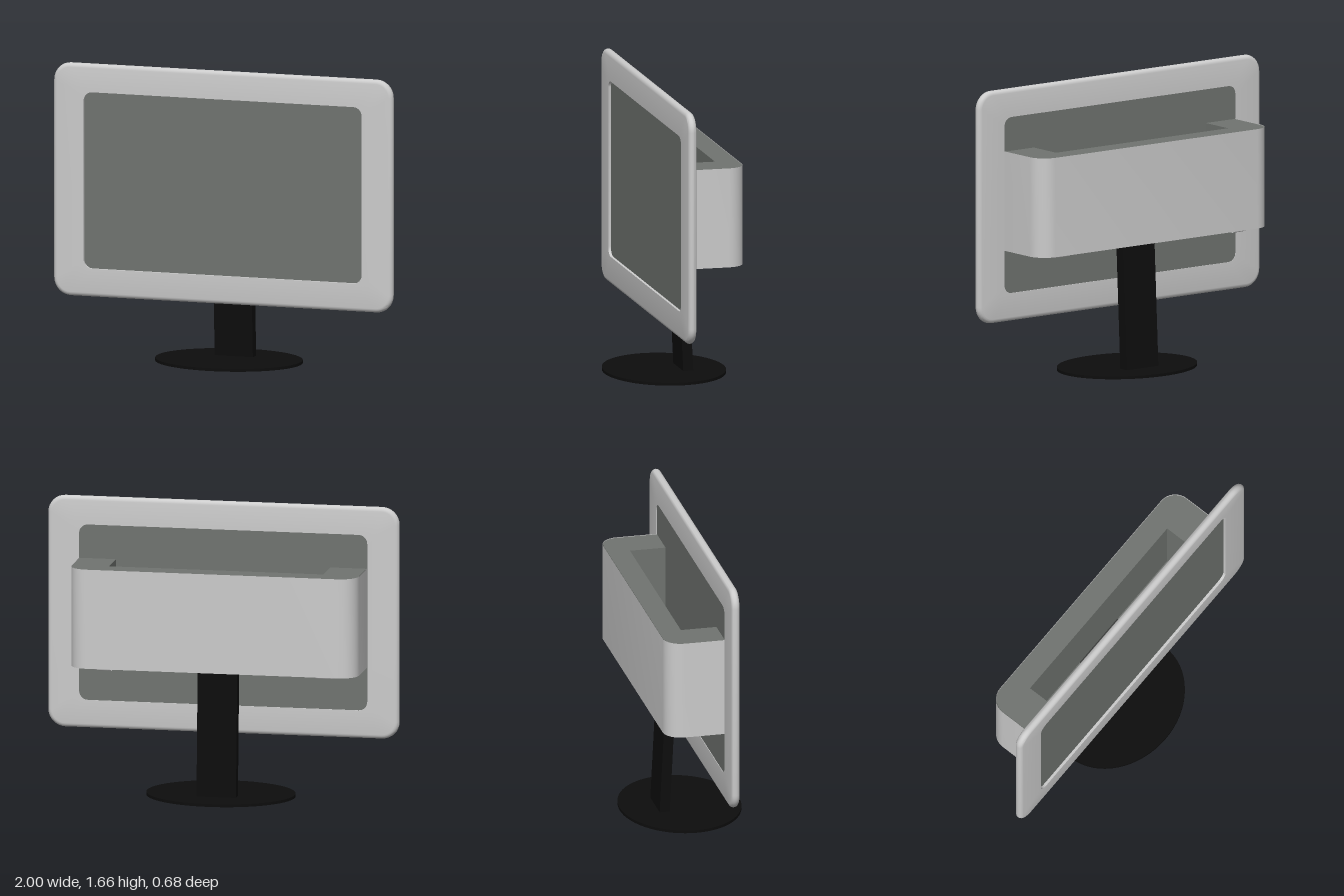
import * as THREE from 'three';
import { toCreasedNormals } from 'three/addons/utils/BufferGeometryUtils.js';

const mat = (name, color, side = THREE.FrontSide) => {
  const m = new THREE.MeshStandardMaterial({ color, side });
  m.name = name;
  return m;
};

// Rounded rectangle outline, counter-clockwise
function roundedRect(hw, hh, r, steps = 8) {
  const pts = [];
  [[1, 1], [-1, 1], [-1, -1], [1, -1]].forEach(([sx, sy], q) => {
    for (let i = 0; i <= steps; i++) {
      const a = (q + i / steps) * Math.PI / 2;
      pts.push(new THREE.Vector2(sx * (hw - r) + r * Math.cos(a), sy * (hh - r) + r * Math.sin(a)));
    }
  });
  return pts;
}

// Skin a surface over cross-section loops
function loft(rings, closed) {
  const n = rings[0].length, m = rings.length, pos = [], idx = [];
  rings.flat().forEach((p) => pos.push(p.x, p.y, p.z));
  for (let i = 0; i < (closed ? m : m - 1); i++) {
    for (let j = 0; j < (closed ? n : n - 1); j++) {
      const i2 = (i + 1) % m, j2 = (j + 1) % n;
      const a = i * n + j, b = i * n + j2, c = i2 * n + j2, d = i2 * n + j;
      idx.push(a, d, c, a, c, b);
    }
  }
  const g = new THREE.BufferGeometry();
  g.setAttribute('position', new THREE.Float32BufferAttribute(pos, 3));
  g.setIndex(idx);
  return toCreasedNormals(g, 0.6);
}

// Extrude a floor plan (x, z) between two heights
function plan(pts, y0, y1) {
  const g = new THREE.ExtrudeGeometry(new THREE.Shape(pts), { depth: y1 - y0, bevelEnabled: false });
  return toCreasedNormals(g.rotateX(Math.PI / 2).translate(0, y1, 0), 0.6);
}

// Outline of the rear housing from its left front, around the back, to its right front
function housingPath(hw, back, front, r) {
  const pts = [new THREE.Vector2(hw, front)];
  for (let i = 0; i <= 8; i++) {
    const a = -i / 8 * Math.PI / 2;
    pts.push(new THREE.Vector2(hw - r + r * Math.cos(a), back + r + r * Math.sin(a)));
  }
  return pts.concat(pts.map((p) => new THREE.Vector2(-p.x, p.y)).reverse());
}

export function createModel() {
  const light = mat('lightGrey', 0xcccccc);
  const lightSheet = mat('lightGreySheet', 0xcccccc, THREE.DoubleSide);
  const grey = mat('screenGrey', 0x707470);
  const dark = mat('darkGrey', 0x393a39);
  const black = mat('black', 0x0d0d0d);

  const model = new THREE.Group();
  model.name = 'monitor';
  const add = (name, geometry, material) => {
    const mesh = new THREE.Mesh(geometry, material);
    mesh.name = name;
    model.add(mesh);
    return mesh;
  };

  // Frame: hole edge, then a fully rounded outer rim, then back to the hole
  const midY = 1, midZ = 0.087, R = 0.024;
  const ring = (hw, hh, r, z) => roundedRect(hw, hh, r).map((p) => new THREE.Vector3(p.x, p.y + midY, z));
  const rings = [ring(0.82, 0.5, 0.05, midZ + R)];
  for (let i = 0; i <= 8; i++) {
    const a = Math.PI / 2 - i / 8 * Math.PI;
    const inset = R * (1 - Math.cos(a));
    rings.push(ring(1 - inset, 0.66 - inset, 0.1 - inset, midZ + R * Math.sin(a)));
  }
  rings.push(ring(0.82, 0.5, 0.05, midZ - R));
  add('frame', loft(rings, true), light);

  // Screen panel, slightly recessed in the frame
  const panel = new THREE.ExtrudeGeometry(new THREE.Shape(roundedRect(0.82, 0.5, 0.05)), { depth: 0.03, bevelEnabled: false });
  add('screen', panel.translate(0, midY, 0.066), grey);

  // Rear housing: floor, U-shaped walls around a pocket, and a light outer skin
  const outline = housingPath(0.815, -0.265, 0.067, 0.1);
  const pocket = [[-0.61, 0.067], [-0.61, -0.138], [0.61, -0.138], [0.61, 0.067]].map(([x, z]) => new THREE.Vector2(x, z));
  add('housingFloor', plan(outline, 0.747, 0.78), grey);
  add('housingWalls', plan([...outline, ...pocket], 0.78, 1.308), grey);
  const skin = housingPath(0.818, -0.268, 0.066, 0.102);
  const skinRing = (y) => skin.map((p) => new THREE.Vector3(p.x, y, p.y));
  add('housingSkin', loft([skinRing(1.31), skinRing(0.745)], false), lightSheet);

  // Dark plate in the pocket above the stand
  const plate = new THREE.BoxGeometry(0.33, 0.008, 0.203);
  add('pocketPlate', plate.translate(0, 0.784, -0.036), dark);

  // Curved ridges under both ends of the housing
  for (const s of [1, -1]) {
    const path = new THREE.CurvePath();
    const p = (x, z) => new THREE.Vector3(s * x, 0.738, z);
    path.add(new THREE.LineCurve3(p(0.7, 0.06), p(0.7, -0.145)));
    path.add(new THREE.QuadraticBezierCurve3(p(0.7, -0.145), p(0.7, -0.215), p(0.63, -0.215)));
    path.add(new THREE.LineCurve3(p(0.63, -0.215), p(0.58, -0.215)));
    add(s > 0 ? 'leftRidge' : 'rightRidge', new THREE.TubeGeometry(path, 32, 0.01, 8), lightSheet);
  }

  // Stand leaning forward, made by shearing a box
  const post = new THREE.BoxGeometry(0.225, 0.74, 0.058).translate(0, 0.38, -0.112);
  const pos = post.attributes.position;
  for (let i = 0; i < pos.count; i++) pos.setZ(i, pos.getZ(i) + (pos.getY(i) - 0.01) * 0.05);
  post.computeVertexNormals();
  add('stand', post, black);

  // Oval base
  const base = new THREE.CylinderGeometry(1, 1, 0.016, 64).scale(0.42, 1, 0.342);
  add('base', base.translate(0, 0.008, 0), black);

  return model;
}
